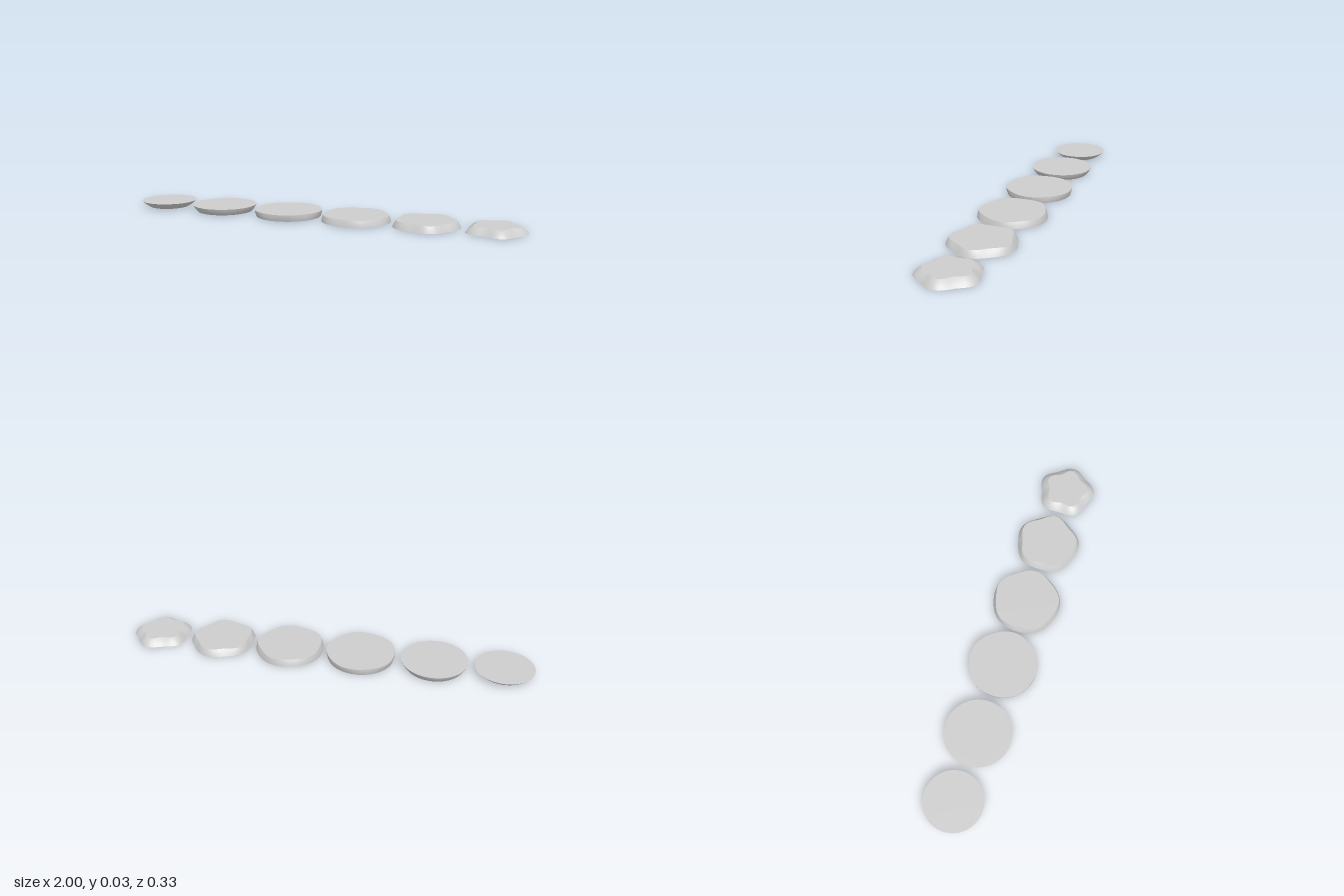
import * as THREE from 'three';
import { mergeVertices } from 'three/addons/utils/BufferGeometryUtils.js';

const THICK = 0.032, SEGMENTS = 80, RINGS = 6;
const LIMIT = 0.8; // the body is cut flat at 80% of its half height
const CENTRES = [-0.8585, -0.527, -0.1695, 0.186, 0.531, 0.853];

// Body radius at height t (-1..1) and angle a: a spheroid turning five-sided towards the top
function radius(t, a) {
  const waist = t > 0 ? 1 - 0.03 * Math.sin(Math.PI * t / LIMIT) : 1;
  const lobes = t > -0.25 ? 0.015 + 0.06 * t + 0.07 * Math.max(0, t) * t : 0;
  return 0.167 * Math.sqrt(1 - t * t) * waist * (1 + lobes * Math.cos(5 * a));
}

// Curved rim between two cuts
function rimGeometry(t0, t1) {
  const points = [];
  for (let i = 0; i <= RINGS; i++) points.push(new THREE.Vector2(1, THICK * i / RINGS));
  let geo = new THREE.LatheGeometry(points, SEGMENTS);
  const p = geo.attributes.position;
  for (let i = 0; i < p.count; i++) {
    const a = Math.atan2(p.getZ(i), p.getX(i));
    const r = radius(t0 + (t1 - t0) * p.getY(i) / THICK, a);
    p.setXYZ(i, r * Math.cos(a), p.getY(i), r * Math.sin(a));
  }
  geo.deleteAttribute('uv');
  geo.deleteAttribute('normal');
  geo = mergeVertices(geo, 1e-5);
  geo.computeVertexNormals();
  return geo;
}

// Flat cut face
function cutGeometry(t, up) {
  const outline = [];
  for (let i = 0; i < SEGMENTS; i++) {
    const a = i / SEGMENTS * Math.PI * 2, r = radius(t, a);
    outline.push(new THREE.Vector2(r * Math.cos(a), r * Math.sin(a)));
  }
  const geo = new THREE.ShapeGeometry(new THREE.Shape(outline));
  geo.rotateX(up ? -Math.PI / 2 : Math.PI / 2);
  if (up) geo.translate(0, THICK, 0);
  return geo;
}

export function createModel() {
  const model = new THREE.Group();
  model.name = 'slicedBody';
  const grey = new THREE.MeshStandardMaterial({ color: 0xcccccc });
  grey.name = 'light grey';

  // Six slices laid out in a row, from the lowest to the highest
  CENTRES.forEach((x, i) => {
    const t0 = -LIMIT + 2 * LIMIT * i / 6, t1 = -LIMIT + 2 * LIMIT * (i + 1) / 6;
    const slice = new THREE.Group();
    slice.name = 'slice' + (i + 1);
    slice.position.x = x;
    const parts = {
      rim: rimGeometry(t0, t1),
      topFace: cutGeometry(t1, true),
      bottomFace: cutGeometry(t0, false),
    };
    for (const [name, geo] of Object.entries(parts)) {
      const mesh = new THREE.Mesh(geo, grey);
      mesh.name = name;
      slice.add(mesh);
    }
    model.add(slice);
  });
  return model;
}
